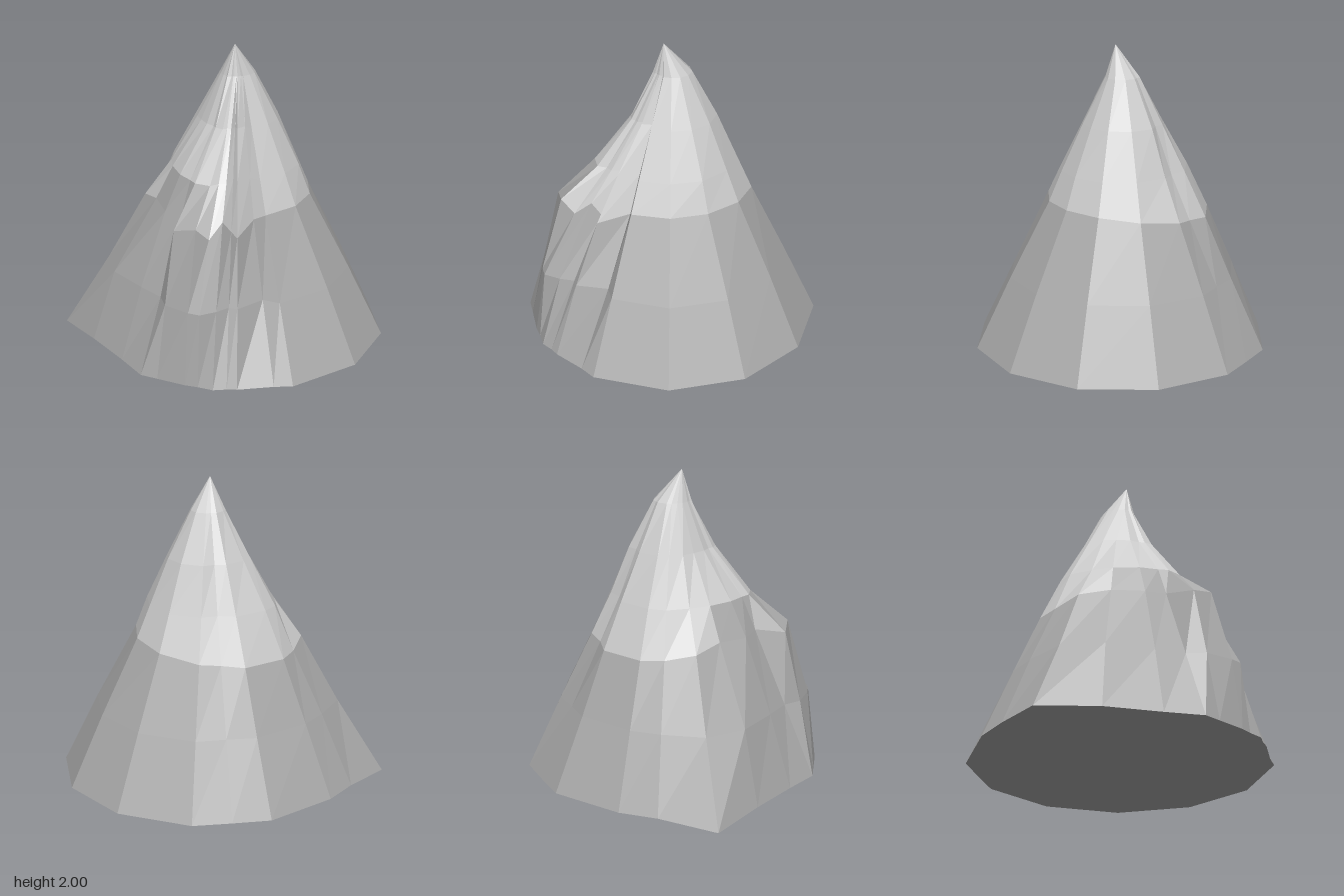
import * as THREE from 'three';

// Heights of the cross-sections below the peak
const HEIGHTS = [0.03, 0.5, 0.95, 1.2, 1.5, 1.8];
const PEAK = [0.02, 2, 0.05];

// Ridges and gullies: angle from +x towards +z, then the radius at each height
const SPOKES = [
  [0, 0.97, 0.74, 0.50, 0.39, 0.25, 0.10],
  [30, 0.97, 0.74, 0.52, 0.40, 0.25, 0.10],
  [37, 0.94, 0.66, 0.43, 0.33, 0.20, 0.09],
  [51, 0.95, 0.78, 0.58, 0.43, 0.24, 0.10],
  [55, 0.95, 0.76, 0.52, 0.38, 0.21, 0.10],
  [60, 0.97, 0.83, 0.61, 0.44, 0.25, 0.10],
  [66, 0.95, 0.90, 0.66, 0.45, 0.25, 0.10],
  [71, 0.95, 0.89, 0.77, 0.50, 0.27, 0.11],
  [83, 0.95, 0.85, 0.75, 0.50, 0.26, 0.12],
  [90, 0.97, 0.77, 0.58, 0.47, 0.24, 0.11],
  [105, 0.92, 0.76, 0.58, 0.45, 0.24, 0.11],
  [127, 0.98, 0.83, 0.56, 0.43, 0.24, 0.11],
  [146, 1.17, 0.86, 0.61, 0.43, 0.26, 0.11],
  [165, 1.00, 0.79, 0.57, 0.46, 0.29, 0.12],
  [180, 0.97, 0.77, 0.57, 0.45, 0.28, 0.12],
  [210, 0.97, 0.75, 0.55, 0.43, 0.28, 0.13],
  [225, 0.94, 0.72, 0.50, 0.38, 0.26, 0.12],
  [240, 0.97, 0.75, 0.53, 0.41, 0.29, 0.13],
  [270, 0.97, 0.75, 0.53, 0.42, 0.29, 0.13],
  [300, 0.97, 0.75, 0.52, 0.41, 0.28, 0.12],
  [330, 0.97, 0.74, 0.50, 0.40, 0.26, 0.11],
];

function point(spokeIndex, level) {
  if (level === HEIGHTS.length) return PEAK;
  const [degrees, ...radii] = SPOKES[spokeIndex % SPOKES.length];
  const angle = THREE.MathUtils.degToRad(degrees);
  let y = HEIGHTS[level];
  let r = radii[level];
  // the outlying foot dips to the ground
  if (level === 0 && degrees === 146) y = 0;
  // jagged snow line, sliding along the slope
  if (level === 2) {
    const shift = degrees % 330 <= 30 ? 0.05 : 0.05 * Math.sin(degrees * 1.7);
    y += shift;
    r -= 0.48 * shift;
  }
  return [r * Math.cos(angle), y, r * Math.sin(angle)];
}

function facetedMesh(name, triangles, color) {
  const geometry = new THREE.BufferGeometry();
  geometry.setAttribute('position', new THREE.Float32BufferAttribute(triangles.flat(2), 3));
  geometry.computeVertexNormals();
  const material = new THREE.MeshStandardMaterial({ color, flatShading: true });
  const mesh = new THREE.Mesh(geometry, material);
  mesh.name = name;
  return mesh;
}

export function createModel() {
  const rock = [], snow = [], base = [];
  SPOKES.forEach(([degrees], i) => {
    // the front cliff stays bare higher up
    const snowLevel = degrees >= 71 && degrees < 127 ? 3 : 2;
    for (let level = 0; level < HEIGHTS.length; level++) {
      const faces = level < snowLevel ? rock : snow;
      const a = point(i, level), b = point(i + 1, level);
      const c = point(i + 1, level + 1), d = point(i, level + 1);
      faces.push([a, d, b]);
      if (d !== PEAK) faces.push([b, d, c]);
    }
    base.push([[0, 0.03, 0], point(i, 0), point(i + 1, 0)]);
  });

  const mountain = new THREE.Group();
  mountain.name = 'mountain';
  mountain.add(
    facetedMesh('rockSlopes', rock, 0xaaaaaa),
    facetedMesh('snowCap', snow, 0xcccccc),
    facetedMesh('base', base, 0xaaaaaa),
  );
  return mountain;
}
